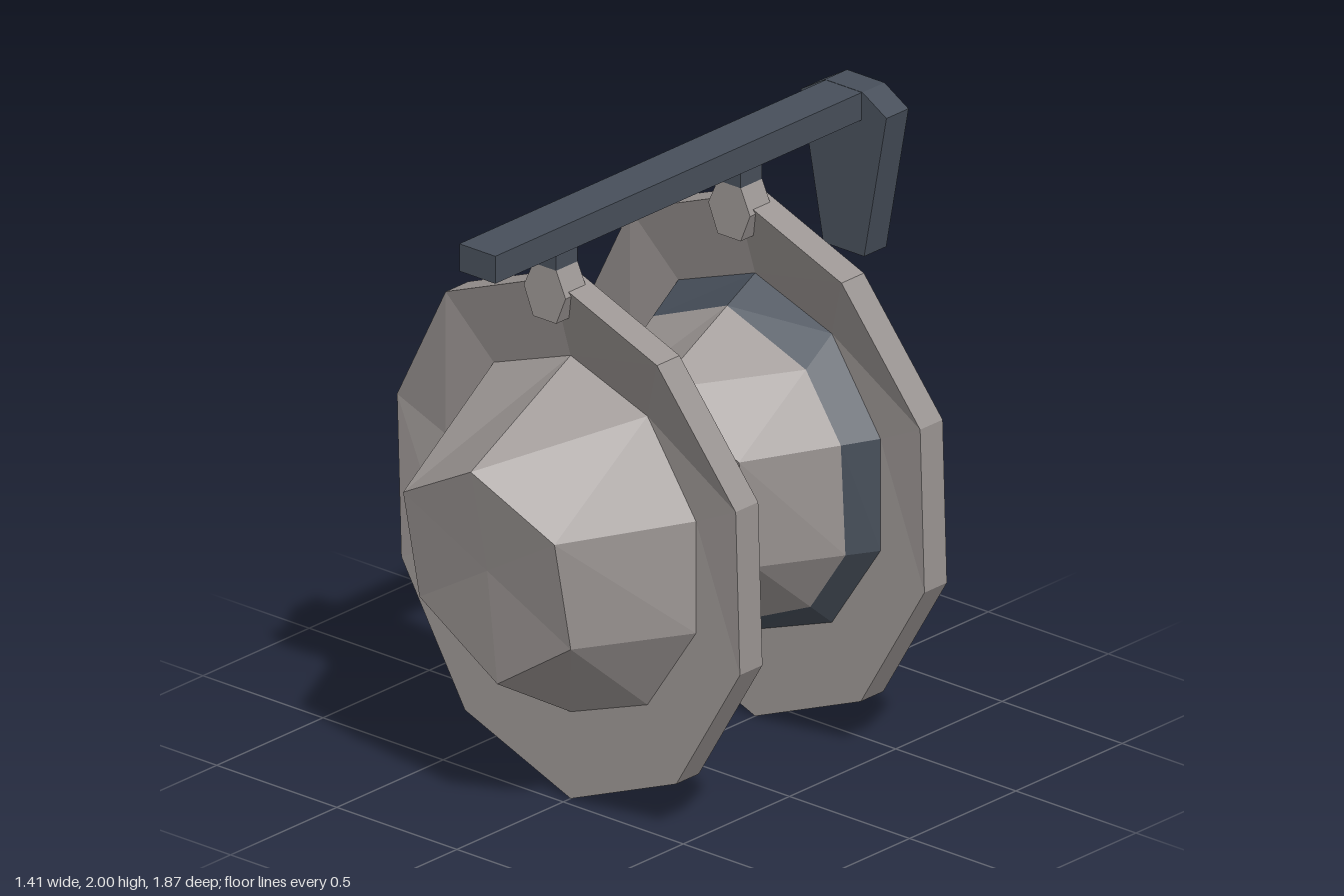
import * as THREE from 'three';

const stone = new THREE.MeshStandardMaterial({ color: 0x9c9694 });
stone.name = 'warm grey';
const slate = new THREE.MeshStandardMaterial({ color: 0x474f5a });
slate.name = 'dark slate';

// Ten-sided ring from its +x half (bottom to top), counter-clockwise from the front
const ring = half => [
  ...half.map(p => new THREE.Vector3(...p)),
  ...half.slice(1, -1).reverse().map(([x, y, z]) => new THREE.Vector3(-x, y, z)),
];

// Flat-faceted triangle soup with helpers for bands and fans
class Facets {
  constructor() { this.points = []; }
  tri(a, b, c) {
    if (a.equals(b) || b.equals(c) || c.equals(a)) return;
    for (const p of [a, b, c]) this.points.push(p.x, p.y, p.z);
  }
  band(front, back) {
    back.forEach((a, i) => {
      const j = (i + 1) % back.length;
      this.tri(a, back[j], front[j]);
      this.tri(a, front[j], front[i]);
    });
    return this;
  }
  fan(loop, centre, flip = false) {
    loop.forEach((a, i) => {
      const b = loop[(i + 1) % loop.length];
      if (flip) this.tri(centre, b, a);
      else this.tri(centre, a, b);
    });
    return this;
  }
  mesh(name, material) {
    const g = new THREE.BufferGeometry();
    g.setAttribute('position', new THREE.Float32BufferAttribute(this.points, 3));
    g.computeVertexNormals();
    const m = new THREE.Mesh(g, material);
    m.name = name;
    return m;
  }
}

function box(name, w, h, d, x, y, z, material) {
  const m = new THREE.Mesh(new THREE.BoxGeometry(w, h, d), material);
  m.position.set(x, y, z);
  m.name = name;
  return m;
}

// Upright plate cut from an outline, from z0 to z0 + depth
function cutPlate(name, outline, z0, depth, material) {
  const shape = new THREE.Shape(outline.map(p => new THREE.Vector2(...p)));
  const g = new THREE.ExtrudeGeometry(shape, { depth, bevelEnabled: false });
  const m = new THREE.Mesh(g, material);
  m.position.set(AXIS, 0, z0);
  m.name = name;
  return m;
}

const AXIS = -0.008; // beam line sits slightly off centre

// Hanging disc with a faceted boss; optionally a dark collar round the boss
function hangingDisc(name, z, collar) {
  const group = new THREE.Group();
  group.name = name;
  group.position.z = z;

  const rimFront = ring([[0, 0, 0.465], [0.44, 0.175, 0.465], [0.705, 0.62, 0.465],
    [0.705, 1.18, 0.485], [0.44, 1.625, 0.556], [0, 1.798, 0.556]]);
  const rimBack = rimFront.map(p => p.clone().setZ(p.z - 0.106));
  const base = ring([[0, 0.295, 0.465], [0.32, 0.41, 0.465], [0.522, 0.71, 0.465],
    [0.522, 1.09, 0.465], [0.32, 1.39, 0.465], [0, 1.505, 0.465]]);
  // Doubled side corners turn the ten-sided base into a six-sided face
  const face = ring([[0, 0.5, 0.81], [0.315, 0.71, 0.82], [0.315, 0.71, 0.82],
    [0.315, 1.09, 0.897], [0.315, 1.09, 0.897], [0, 1.26, 0.935]]);

  group.add(new Facets().band(base, rimFront).band(rimFront, rimBack)
    .fan(rimBack, new THREE.Vector3(0, 0.9, 0.359), true).mesh('disc', stone));

  let start = base;
  if (collar) {
    start = base.map((p, i) => p.clone().lerp(face[i], 0.28));
    group.add(new Facets().band(start, base).mesh('collar', slate));
  }
  group.add(new Facets().band(face, start)
    .fan(face, new THREE.Vector3(0, 0.9, 0.858)).mesh('boss', stone));

  // Hanger: six-sided clamp and a stub up to the beam
  group.add(cutPlate('clamp', [[-0.048, 1.66], [0.048, 1.66], [0.087, 1.755],
    [0.048, 1.84], [-0.048, 1.84], [-0.087, 1.755]], 0.477, 0.101, stone));
  group.add(box('stub', 0.096, 0.07, 0.101, AXIS, 1.875, 0.5275, slate));
  return group;
}

export function createModel() {
  const model = new THREE.Group();
  model.name = 'hangingDiscs';
  model.add(hangingDisc('frontDisc', 0, false));
  model.add(hangingDisc('rearDisc', -0.868, true));

  // Beam and tapered wall mount
  model.add(box('beam', 0.15, 0.093, 1.73, AXIS, 1.9525, 0.03, slate));
  model.add(cutPlate('wallMount', [[-0.085, 1.445], [0.085, 1.445], [0.178, 1.94],
    [0.078, 2], [-0.078, 2], [-0.178, 1.94]], -0.933, 0.104, slate));
  return model;
}
